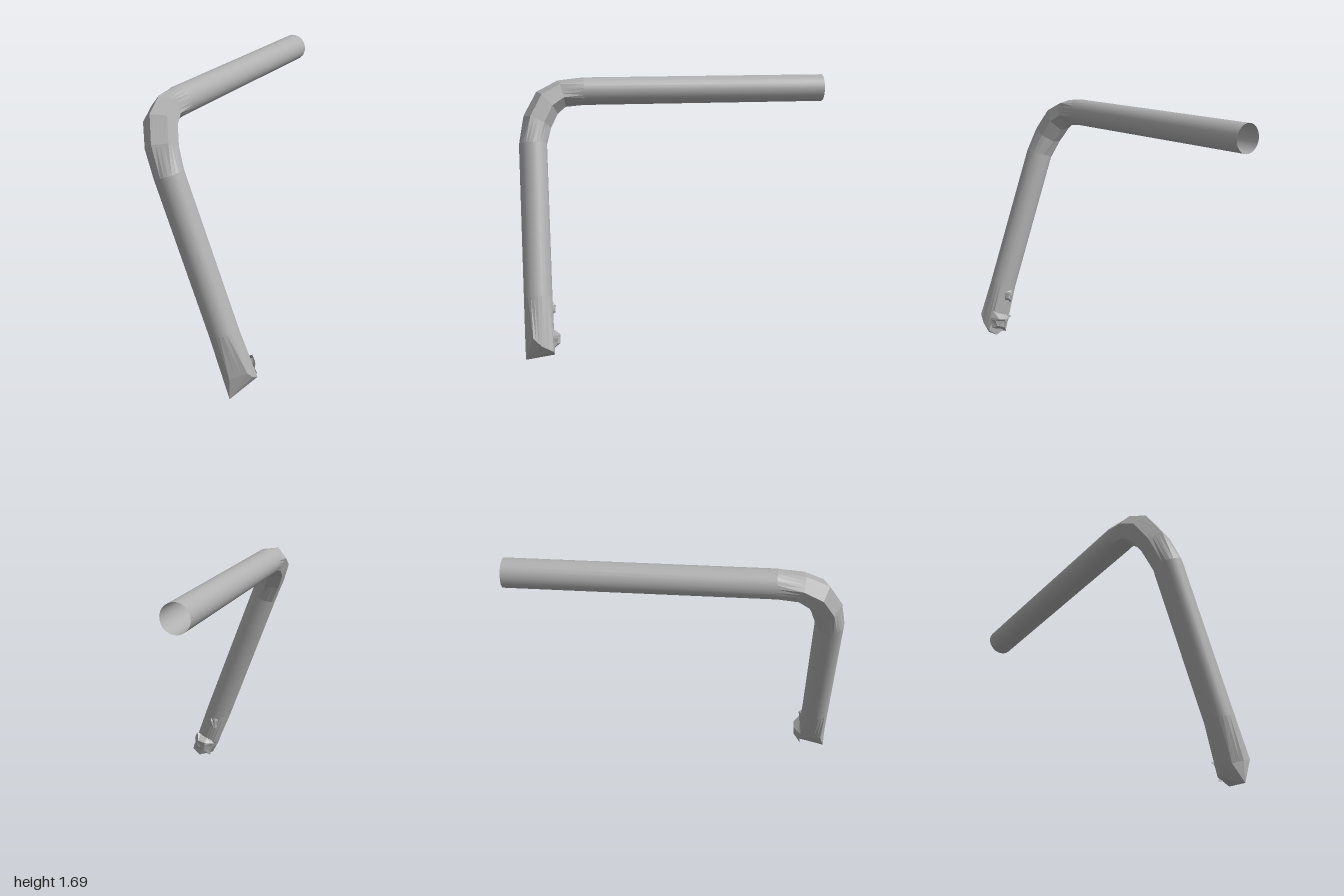
import * as THREE from 'three';

const SIDES = 24;
const R = 0.088;
const V = (x, y, z) => new THREE.Vector3(x, y, z);
const DOWN = V(0.34, -0.94, 0).normalize(); // run of the slanted leg
const SIDE = V(0.94, 0.34, 0).normalize();

// Ring round the pipe; bend 0 faces +z, bend 90 faces down the leg
function ring(center, bend, r = R, corners = 0) {
  const t = THREE.MathUtils.degToRad(bend);
  const out = V(0, 0, Math.sin(t)).addScaledVector(DOWN, -Math.cos(t));
  return Array.from({ length: SIDES }, (_, j) => {
    const a = (j / SIDES) * Math.PI * 2;
    let k = r;
    if (corners) {
      const step = (Math.PI * 2) / corners;
      k *= Math.cos(step / 2) / Math.cos((a % step) - step / 2);
    }
    return center.clone().addScaledVector(out, Math.cos(a) * k).addScaledVector(SIDE, Math.sin(a) * k);
  });
}

// Ring interpolated along the edges of a polygon
function polygonRing(corners) {
  const per = SIDES / corners.length;
  return Array.from({ length: SIDES }, (_, j) => {
    const i = Math.floor(j / per);
    return corners[i].clone().lerp(corners[(i + 1) % corners.length], (j % per) / per);
  });
}

function loft(rings, flat) {
  const index = [];
  for (let i = 0; i < rings.length - 1; i++) {
    for (let j = 0; j < SIDES; j++) {
      const k = (j + 1) % SIDES;
      const a = i * SIDES + j, b = i * SIDES + k, c = a + SIDES, d = b + SIDES;
      index.push(a, c, b, b, c, d);
    }
  }
  let g = new THREE.BufferGeometry().setFromPoints(rings.flat());
  g.setIndex(index);
  if (flat) g = g.toNonIndexed();
  g.computeVertexNormals();
  return g;
}

// Small crumpled sheet, domed towards the back
function crumple(w, h, seed) {
  const rnd = () => (seed = (seed * 16807) % 2147483647) / 2147483647;
  const g = new THREE.PlaneGeometry(w, h, 4, 4);
  const p = g.attributes.position;
  for (let i = 0; i < p.count; i++) {
    const rim = Math.max(Math.abs(p.getX(i)) / w, Math.abs(p.getY(i)) / h) > 0.49;
    p.setXYZ(i, p.getX(i) + (rnd() - 0.5) * w * 0.2, p.getY(i) + (rnd() - 0.5) * h * 0.2,
      rim ? 0.035 : (rnd() - 0.5) * 0.03);
  }
  const flat = g.toNonIndexed();
  flat.computeVertexNormals();
  return flat;
}

export function createModel() {
  const group = new THREE.Group();
  const grey = new THREE.MeshStandardMaterial({ color: 0xb0b0b0, side: THREE.DoubleSide });
  grey.name = 'grey';
  const add = (name, geometry) => {
    const mesh = new THREE.Mesh(geometry, grey);
    mesh.name = name;
    group.add(mesh);
    return mesh;
  };

  // Straight open pipe running to the back
  const elbowStart = ring(V(-0.27, 1.603, 0.58), 0);
  add('horizontalPipe', loft([ring(V(-0.27, 1.603, -1), 0), elbowStart], false));

  // Coarse faceted elbow
  const legTop = ring(V(-0.147, 1.285, 0.912), 90);
  add('elbow', loft([
    elbowStart,
    ring(V(-0.268, 1.59, 0.72), 15, 0.09, 6),
    ring(V(-0.25, 1.535, 0.815), 42, 0.098, 6),
    ring(V(-0.205, 1.42, 0.88), 65, 0.095, 6),
    legTop,
  ], true));

  // Slanted leg
  const legBottom = ring(V(0.18, 0.38, 0.912), 90);
  add('slantedPipe', loft([legTop, legBottom], false));

  // Cut end of the leg, closed to a point at the front
  const cutEdge = polygonRing([
    V(0.26, 0.13, 1), V(0.35, 0.17, 0.95), V(0.36, 0.12, 0.9), V(0.355, 0.08, 0.83),
    V(0.3, 0.04, 0.82), V(0.22, 0.08, 0.82), V(0.19, 0.12, 0.9), V(0.2, 0.11, 0.97),
  ]);
  const tip = Array.from({ length: SIDES }, () => V(0.26, 0, 1));
  add('pipeEnd', loft([legBottom, cutEdge], true));
  add('pointedTip', loft([cutEdge, tip], true));

  // Torn fragments on the back of the end
  const scraps = [
    [0.27, 0.135, 0.795, 0.15, 0.11, 17],
    [0.19, 0.315, 0.81, 0.08, 0.12, 91],
  ];
  for (const [x, y, z, w, h, seed] of scraps) {
    const scrap = add('tornFragment', crumple(w, h, seed));
    scrap.position.set(x, y, z);
    scrap.rotation.z = 0.34;
  }
  return group;
}
